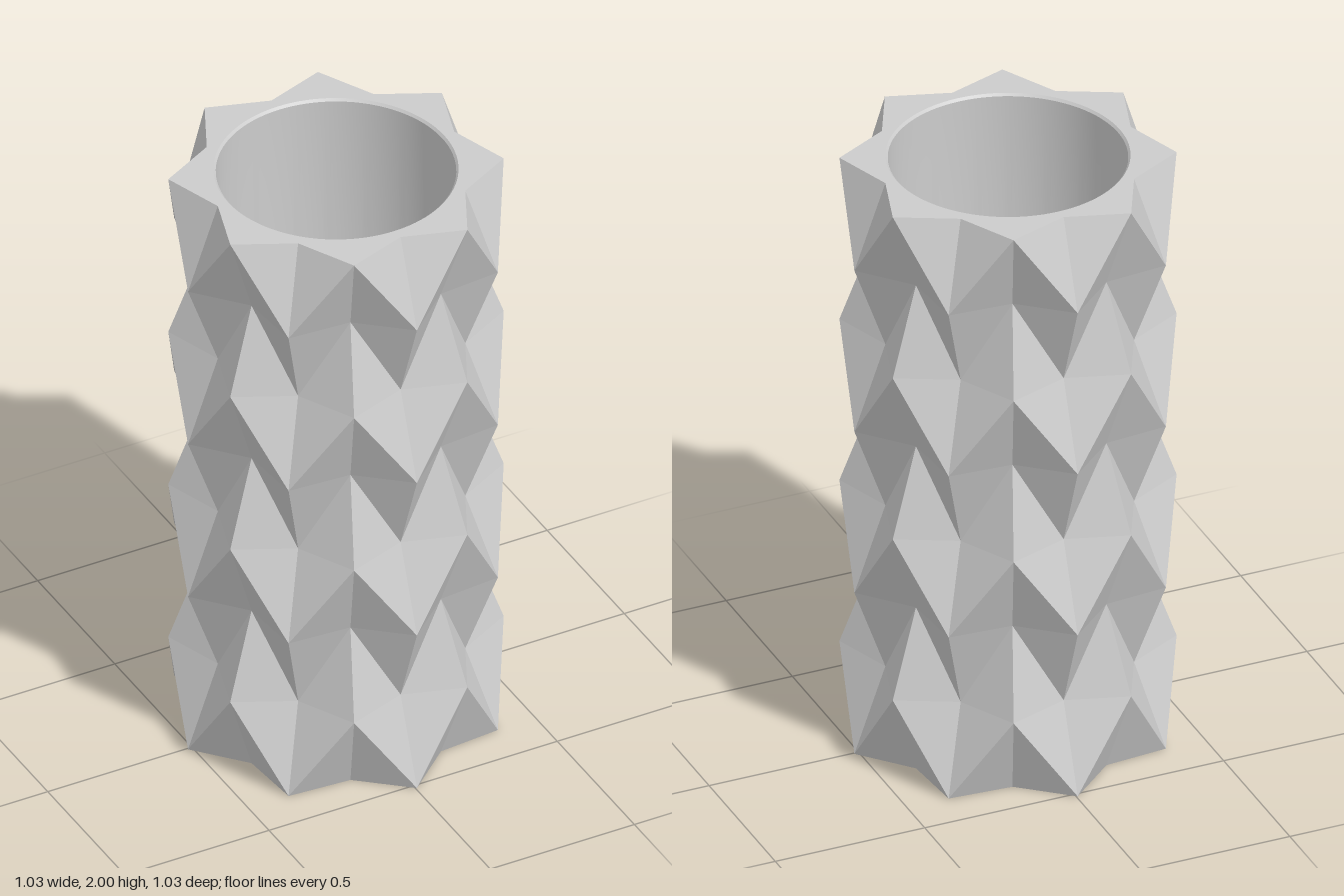
import * as THREE from 'three';
import { toCreasedNormals } from 'three/addons/utils/BufferGeometryUtils.js';

const SIDES = 16, ROWS = 7, HEIGHT = 2;
const PEAK = 0.516, VALLEY = 0.412, MOUTH = 0.375;

// Peaks and valleys alternate around each row and from row to row
function foldPoint(i, j) {
  const a = (i / SIDES) * Math.PI * 2;
  const r = (i + j) % 2 === 0 ? PEAK : VALLEY;
  return new THREE.Vector3(r * Math.sin(a), (j / ROWS) * HEIGHT, r * Math.cos(a));
}

// Folded outer wall: chevron facets between zigzag ridges and zigzag valleys
function wallGeometry() {
  const pts = [];
  for (let j = 0; j < ROWS; j++) {
    for (let i = 0; i < SIDES; i++) {
      const a = foldPoint(i, j), b = foldPoint(i + 1, j);
      const c = foldPoint(i + 1, j + 1), d = foldPoint(i, j + 1);
      if (i % 2 === 0) pts.push(a, b, c, a, c, d);
      else pts.push(a, b, d, b, c, d);
    }
  }
  const geo = new THREE.BufferGeometry().setFromPoints(pts);
  geo.computeVertexNormals();
  return geo;
}

// Star outline of one row, with z multiplied by zSign to suit the cap's rotation
function starShape(j, zSign) {
  const pts = [];
  for (let i = 0; i < SIDES; i++) {
    const p = foldPoint(i, j);
    pts.push(new THREE.Vector2(p.x, p.z * zSign));
  }
  return new THREE.Shape(pts);
}

export function createModel() {
  const group = new THREE.Group();
  group.name = 'foldedVase';
  const smooth = new THREE.MeshStandardMaterial({ color: 0xcccccc });
  const flat = new THREE.MeshStandardMaterial({ color: 0xcccccc, flatShading: true });
  const add = (name, geo, mat) => {
    const mesh = new THREE.Mesh(geo, mat);
    mesh.name = name;
    group.add(mesh);
  };

  add('facetedWall', wallGeometry(), flat);

  // Star-shaped rim with the round mouth cut out
  const rim = starShape(ROWS, -1);
  rim.holes.push(new THREE.Path().absarc(0, 0, MOUTH, 0, Math.PI * 2, true));
  add('rim', new THREE.ShapeGeometry(rim, 48).rotateX(-Math.PI / 2).translate(0, HEIGHT, 0), flat);

  // Flat underside
  add('base', new THREE.ShapeGeometry(starShape(0, 1)).rotateX(Math.PI / 2), flat);

  // Round cavity: chamfered lip, straight wall, filleted floor
  const inner = 0.368, floor = 0.06, fillet = 0.05;
  const profile = [new THREE.Vector2(MOUTH, HEIGHT), new THREE.Vector2(inner, HEIGHT - 0.008)];
  for (let k = 0; k <= 8; k++) {
    const a = (k / 8) * Math.PI / 2;
    profile.push(new THREE.Vector2(
      inner - fillet + fillet * Math.cos(a), floor + fillet - fillet * Math.sin(a)));
  }
  profile.push(new THREE.Vector2(0, floor));
  add('cavity', toCreasedNormals(new THREE.LatheGeometry(profile, 96), 0.5), smooth);

  // Slight twist of the whole body
  group.rotation.y = 0.009;
  return group;
}
